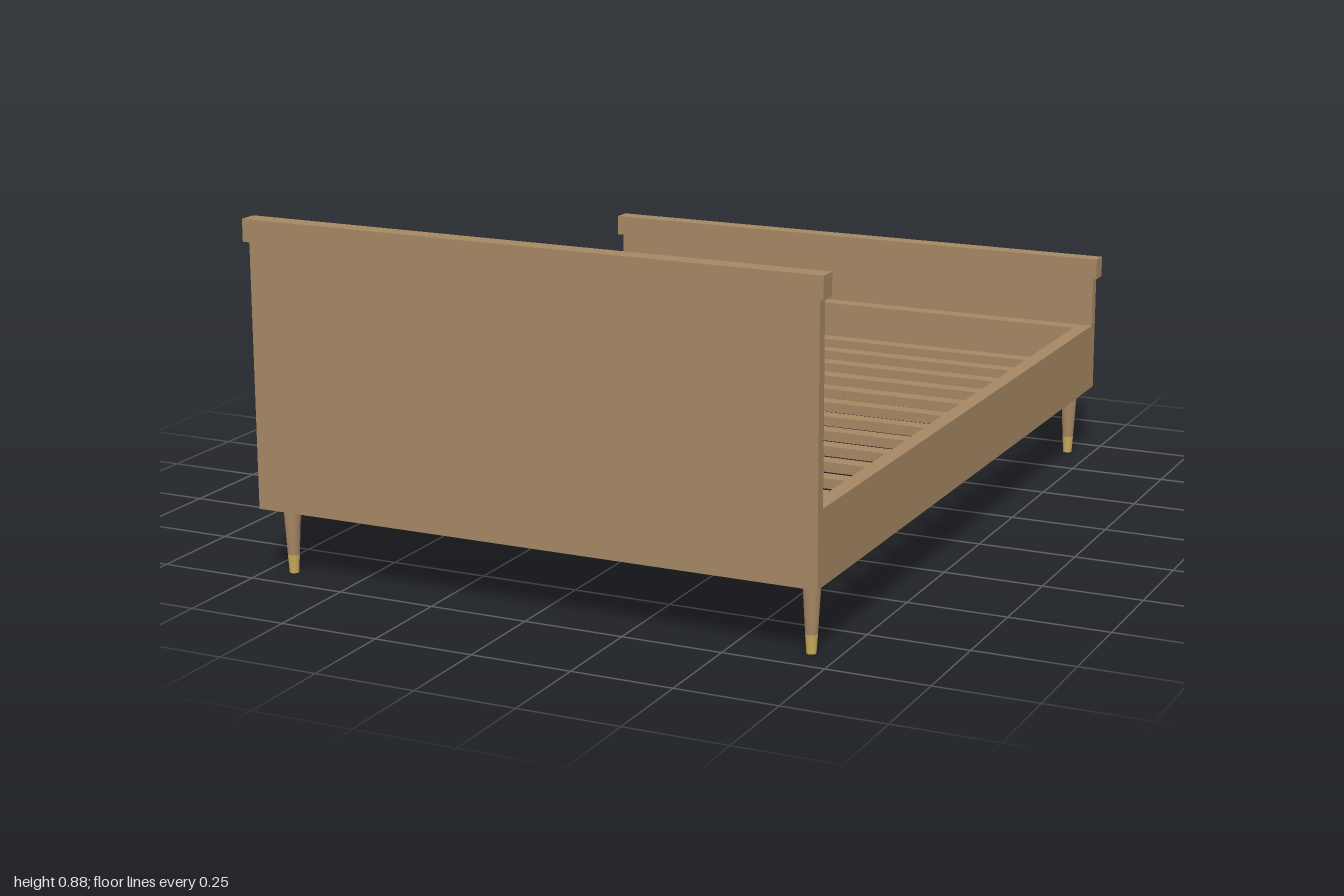
import * as THREE from 'three';

const wood = new THREE.MeshStandardMaterial({ color: 0xa68763 });
const brass = new THREE.MeshStandardMaterial({ color: 0xc9a95a });

// Box given by its min/max extents on each axis
function box(parent, name, [x0, x1], [y0, y1], [z0, z1]) {
  const mesh = new THREE.Mesh(new THREE.BoxGeometry(x1 - x0, y1 - y0, z1 - z0), wood);
  mesh.position.set((x0 + x1) / 2, (y0 + y1) / 2, (z0 + z1) / 2);
  mesh.name = name;
  parent.add(mesh);
  return mesh;
}

// Upright end board with a cap and three stepped panels on its -z face
function endBoard(name, zBack, zFront, top, cap) {
  const group = new THREE.Group();
  group.name = name;
  const bottom = 0.175, margin = 0.06;
  box(group, 'board', [-0.727, 0.727], [bottom, top], [zBack, zFront]);
  box(group, 'cap', [-0.739, 0.739], [top, top + 0.055], cap);
  for (const i of [-1, 0, 1]) {
    const x = i * 0.465;
    const y0 = bottom + margin, y1 = top - margin;
    box(group, 'panelBase', [x - 0.195, x + 0.195], [y0, y1], [zBack - 0.009, zBack]);
    box(group, 'panelFace', [x - 0.185, x + 0.185], [y0 + 0.01, y1 - 0.01], [zBack - 0.015, zBack - 0.009]);
  }
  return group;
}

// Round tapered leg with a brass tip
function leg(x, z) {
  const group = new THREE.Group();
  group.name = 'leg';
  const shaft = new THREE.Mesh(new THREE.CylinderGeometry(0.022, 0.0145, 0.13, 24), wood);
  shaft.name = 'legShaft';
  shaft.position.y = 0.11;
  const tip = new THREE.Mesh(new THREE.CylinderGeometry(0.0147, 0.0115, 0.046, 24), brass);
  tip.name = 'legTip';
  tip.position.y = 0.023;
  group.add(shaft, tip);
  group.position.set(x, 0, z);
  return group;
}

export function createModel() {
  const bed = new THREE.Group();
  bed.name = 'bedFrame';

  // Tall headboard at the front, low footboard at the back
  bed.add(endBoard('headboard', 0.963, 0.991, 0.83, [0.953, 1.0]));
  bed.add(endBoard('footboard', -0.985, -0.957, 0.49, [-0.994, -0.947]));

  // End rails against the inner faces of the boards
  box(bed, 'headRail', [-0.688, 0.688], [0.175, 0.355], [0.911, 0.963]);
  box(bed, 'footRail', [-0.688, 0.688], [0.175, 0.355], [-0.957, -0.913]);

  // Side rails, slat ledges and legs
  for (const s of [-1, 1]) {
    const span = (a, b) => (s > 0 ? [a, b] : [-b, -a]);
    box(bed, 'sideRail', span(0.688, 0.727), [0.175, 0.355], [-0.957, 0.963]);
    box(bed, 'slatLedge', span(0.66, 0.688), [0.21, 0.245], [-0.913, 0.911]);
    bed.add(leg(s * 0.683, 0.917), leg(s * 0.683, -0.909));
  }

  // Slats resting on the ledges
  for (let i = 0; i < 14; i++) {
    const z = -0.849 + i * 0.1303;
    box(bed, 'slat', [-0.688, 0.688], [0.245, 0.27], [z - 0.021, z + 0.021]);
  }

  return bed;
}
